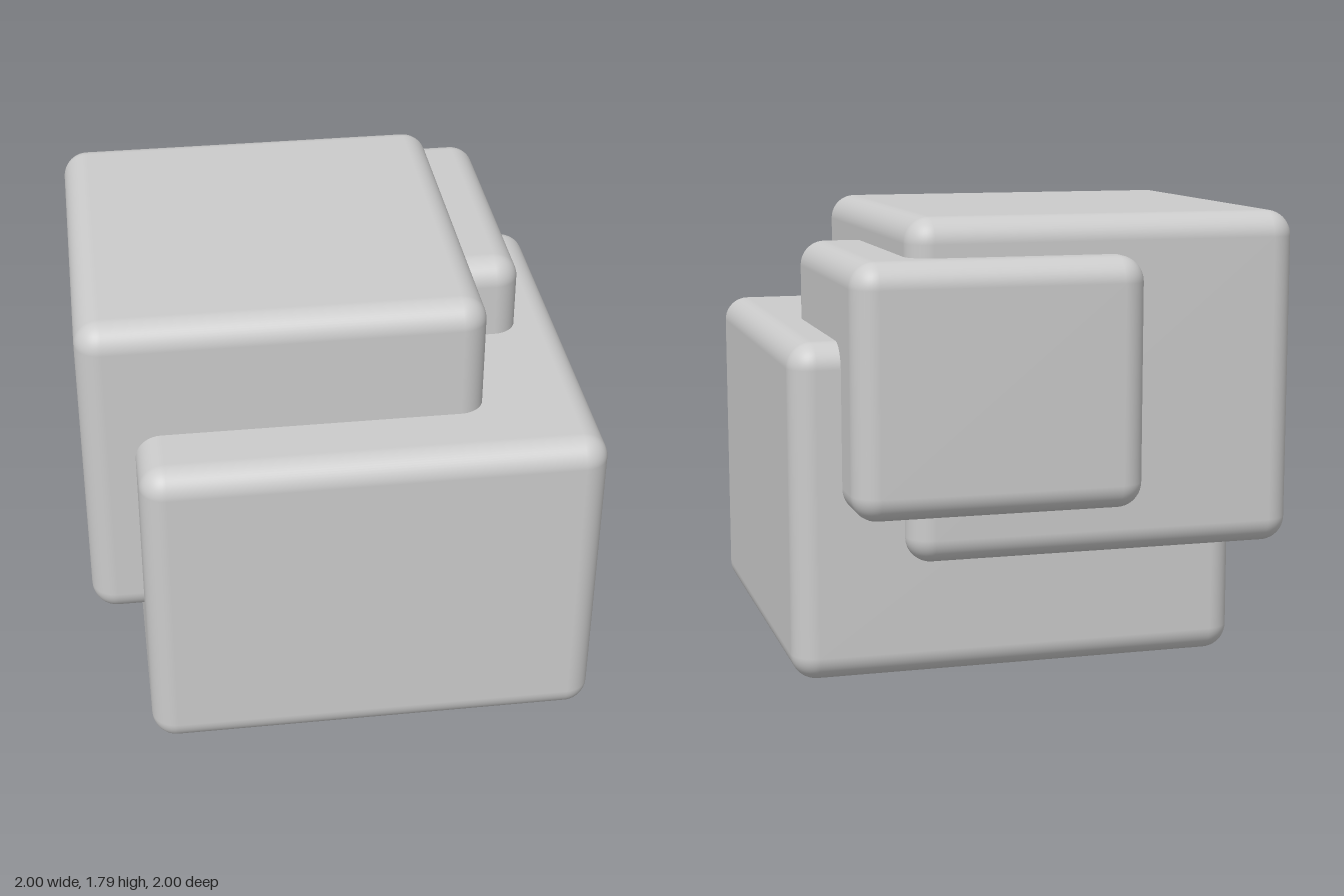
import * as THREE from 'three';
import { RoundedBoxGeometry } from 'three/addons/geometries/RoundedBoxGeometry.js';

const material = new THREE.MeshStandardMaterial({ color: 0xcccccc });

// Rounded block spanning two opposite corners
function block(name, min, max) {
  const a = new THREE.Vector3(...min);
  const b = new THREE.Vector3(...max);
  const size = b.clone().sub(a);
  const mesh = new THREE.Mesh(new RoundedBoxGeometry(size.x, size.y, size.z, 6, 0.1), material);
  mesh.name = name;
  mesh.position.copy(a).add(b).multiplyScalar(0.5);
  return mesh;
}

export function createModel() {
  const group = new THREE.Group();
  group.name = 'overlappingBlocks';
  group.add(
    // Large block on the ground, toward the front left
    block('baseBlock', [-0.797, 0, -0.752], [1, 1.318, 1]),
    // Raised block, toward the right
    block('upperBlock', [-1, 0.46, -0.853], [0.565, 1.789, 0.707]),
    // Smaller block emerging at the back
    block('rearBlock', [-0.336, 0.664, -1], [0.808, 1.639, 0.147]),
  );
  return group;
}
